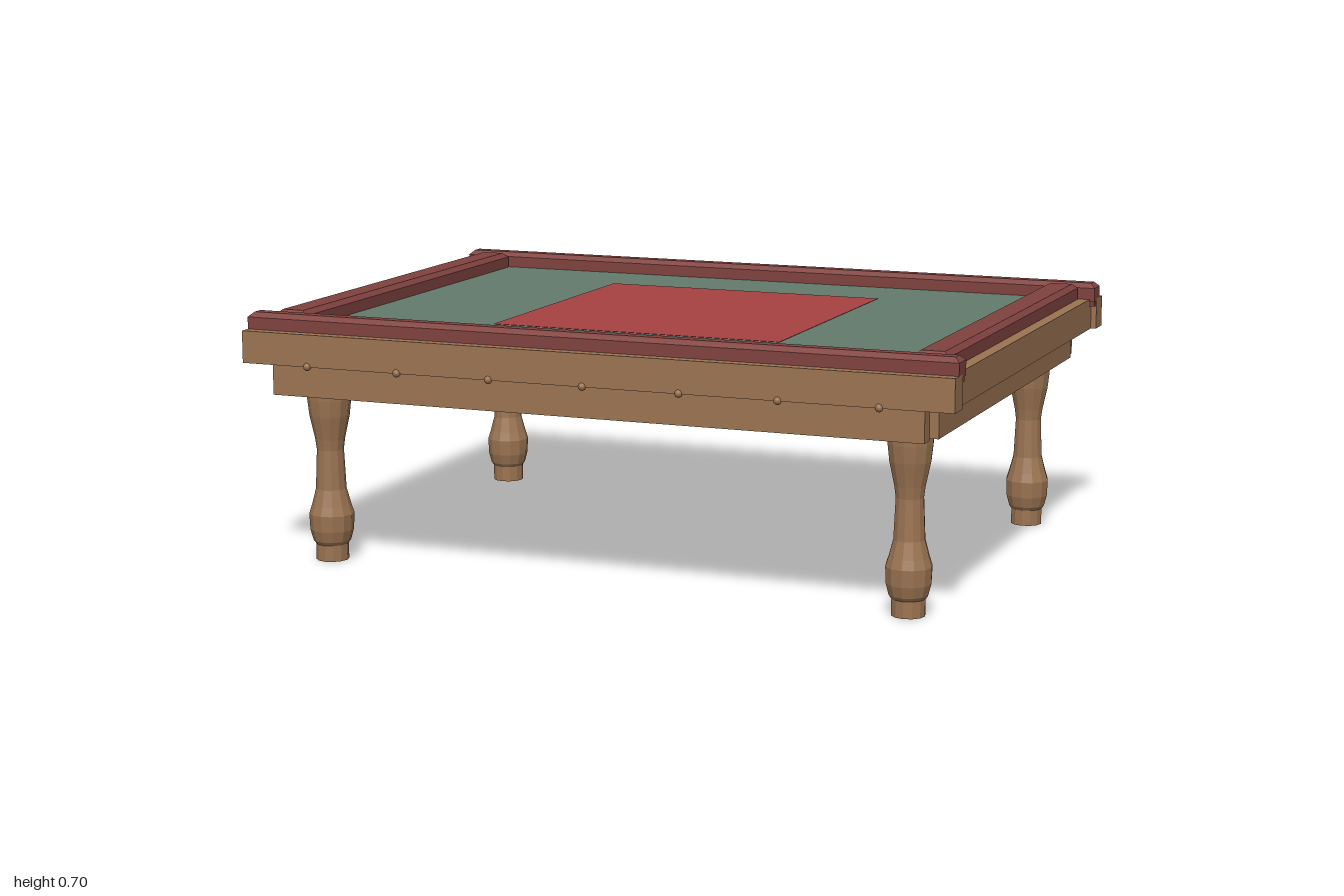
import * as THREE from 'three';

const mat = (color, flatShading = false) => new THREE.MeshStandardMaterial({ color, flatShading });

export function createModel() {
  const model = new THREE.Group();
  const wood = mat(0x9b7452), legWood = mat(0x9b7452, true);
  const cushionMat = mat(0x80423f, true), felt = mat(0x637b6c), red = mat(0xa84242);

  const add = (name, geometry, material, x = 0, y = 0, z = 0) => {
    const mesh = new THREE.Mesh(geometry, material);
    mesh.name = name;
    mesh.position.set(x, y, z);
    model.add(mesh);
    return mesh;
  };
  // box given by its lower and upper corners
  const box = (name, material, [x0, y0, z0], [x1, y1, z1]) =>
    add(name, new THREE.BoxGeometry(x1 - x0, y1 - y0, z1 - z0), material,
      (x0 + x1) / 2, (y0 + y1) / 2, (z0 + z1) / 2);

  // cushion bar: box whose top edges are chamfered all round
  const cushion = (name, [x0, z0], [x1, z1]) => {
    const bottom = 0.648, shoulder = 0.688, top = 0.701, chamfer = 0.014;
    const geometry = new THREE.BoxGeometry(x1 - x0, 2, z1 - z0, 1, 2, 1);
    const p = geometry.attributes.position;
    for (let i = 0; i < p.count; i++) {
      const level = Math.round(p.getY(i));
      p.setY(i, [bottom, shoulder, top][level + 1]);
      if (level === 1) {
        p.setX(i, p.getX(i) - Math.sign(p.getX(i)) * chamfer);
        p.setZ(i, p.getZ(i) - Math.sign(p.getZ(i)) * chamfer);
      }
    }
    geometry.computeVertexNormals();
    add(name, geometry, cushionMat, (x0 + x1) / 2, 0, (z0 + z1) / 2);
  };

  // playing bed and its centre square
  box('feltBed', felt, [-0.92, 0.628, -0.68], [0.92, 0.656, 0.68]);
  box('centreSquare', red, [-0.415, 0.652, -0.435], [0.415, 0.657, 0.398]);

  // turned leg profile: radius, height
  const legProfile = [
    [0, 0], [0.045, 0], [0.045, 0.045], [0.052, 0.055], [0.06, 0.085], [0.062, 0.13],
    [0.054, 0.155], [0.042, 0.2], [0.037, 0.31], [0.041, 0.34], [0.055, 0.405],
    [0.06, 0.45], [0.062, 0.5], [0.058, 0.535], [0.045, 0.565], [0, 0.57],
  ].map(([r, y]) => new THREE.Vector2(r, y));
  const legGeometry = new THREE.LatheGeometry(legProfile, 12);
  const studGeometry = new THREE.SphereGeometry(0.011, 10, 8);

  for (const s of [1, -1]) {
    const side = s > 0 ? 'front' : 'back';
    const end = s > 0 ? 'left' : 'right';
    const span = (a, b) => (s > 0 ? [a, b] : [-b, -a]);

    // long rail, apron and cushion with its lip
    const [r0, r1] = span(0.68, 0.745);
    box(side + 'Rail', wood, [-1, 0.567, r0], [1, 0.655, r1]);
    const [a0, a1] = span(0.683, 0.727);
    box(side + 'Apron', wood, [-0.918, 0.482, a0], [0.918, 0.567, a1]);
    const [c0, c1] = span(0.653, 0.713);
    cushion(side + 'Cushion', [-1, c0], [1, c1]);
    const [l0, l1] = span(0.66, 0.68);
    box(side + 'CushionLip', cushionMat, [-0.998, 0.634, l0], [0.998, 0.655, l1]);

    // end rail, apron and cushion
    const [e0, e1] = span(0.92, 0.985);
    box(end + 'Rail', wood, [e0, 0.567, -0.677], [e1, 0.655, 0.677]);
    const [b0, b1] = span(0.888, 0.933);
    box(end + 'Apron', wood, [b0, 0.482, -0.655], [b1, 0.567, 0.655]);
    const [d0, d1] = span(0.861, 0.952);
    cushion(end + 'Cushion', [d0, -0.645], [d1, 0.645]);

    // row of studs along the lower edge of the long rail
    for (let i = -3; i <= 3; i++) {
      add(side + 'Stud', studGeometry, wood, i * 0.268, 0.568, s * 0.742);
    }

    for (const t of [1, -1]) {
      add(side + (t > 0 ? 'Left' : 'Right') + 'Leg', legGeometry, legWood, t * 0.834, 0, s * 0.571);
    }
  }
  return model;
}
